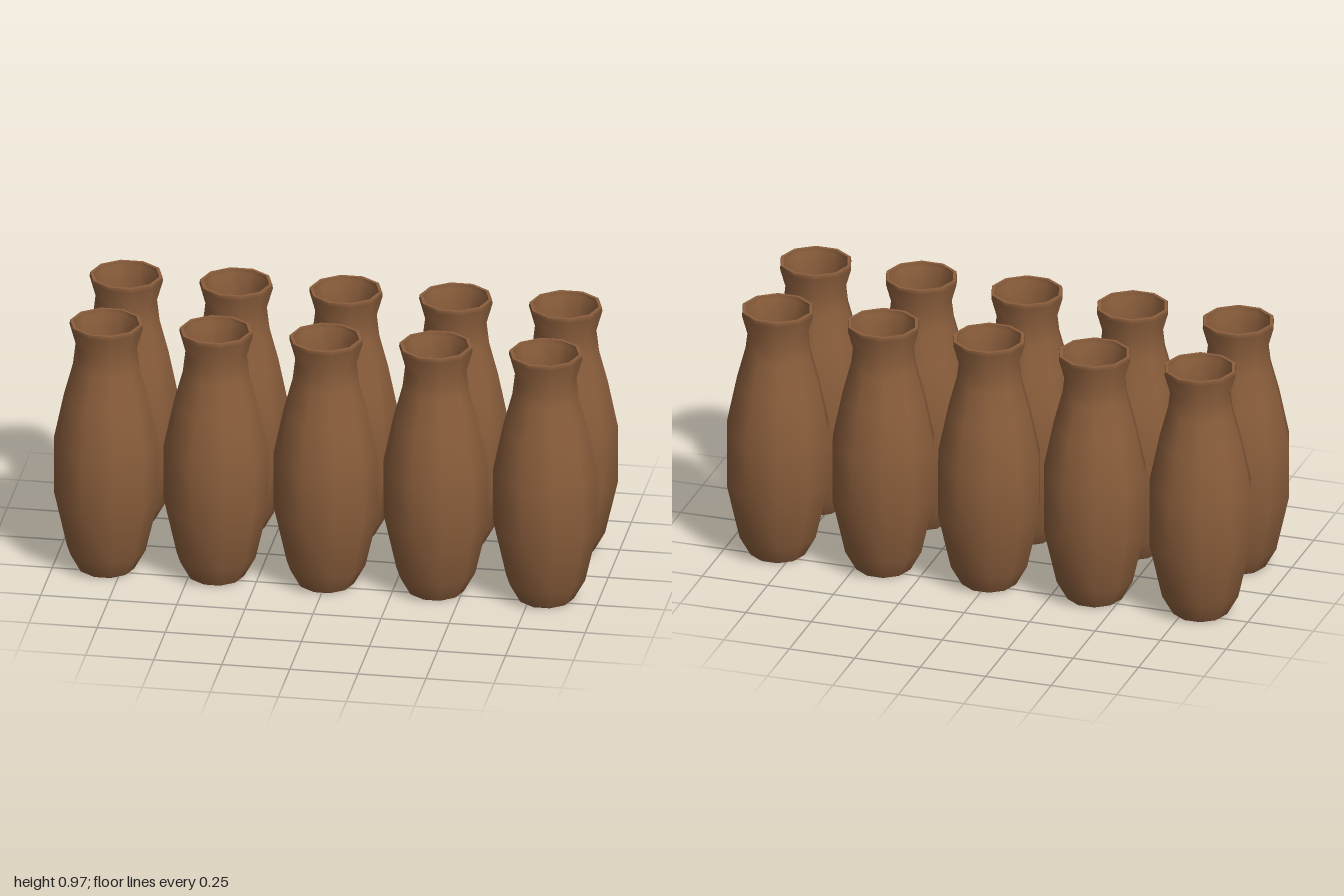
import * as THREE from 'three';

const SIDES = 10;

// Profiles as [radius, height]; together they run from base centre, up the outside, and down the inside
const PROFILES = {
  base: [[0, 0], [0.095, 0], [0.103, 0.005]],
  body: [
    [0.103, 0.005], [0.145, 0.08], [0.193, 0.29], [0.193, 0.5], [0.155, 0.68],
    [0.1225, 0.8], [0.113, 0.88], [0.135, 0.957], [0.133, 0.972],
  ],
  lip: [[0.133, 0.972], [0.121, 0.972]],
  inside: [
    [0.121, 0.972], [0.12, 0.955], [0.1, 0.88], [0.109, 0.8], [0.141, 0.68],
    [0.179, 0.5], [0.179, 0.29], [0.132, 0.085], [0.095, 0.025],
  ],
  floor: [[0.095, 0.025], [0, 0.02]],
};

export function createModel() {
  const group = new THREE.Group();
  group.name = 'jars';
  const clay = new THREE.MeshStandardMaterial({ color: 0x8b5e3c });
  clay.name = 'brown clay';

  // Each part is a ten-sided lathe with a corner on the x axis
  const parts = Object.entries(PROFILES).map(([name, points]) => [
    name,
    new THREE.LatheGeometry(points.map(([r, y]) => new THREE.Vector2(r, y)), SIDES, Math.PI / 2),
  ]);

  // Two rows of five jars
  for (const z of [-0.2165, 0.2165]) {
    for (let i = -2; i <= 2; i++) {
      const jar = new THREE.Group();
      jar.name = 'jar';
      for (const [name, geometry] of parts) {
        const mesh = new THREE.Mesh(geometry, clay);
        mesh.name = name;
        jar.add(mesh);
      }
      jar.position.set(i * 0.4035, 0, z);
      group.add(jar);
    }
  }
  return group;
}
